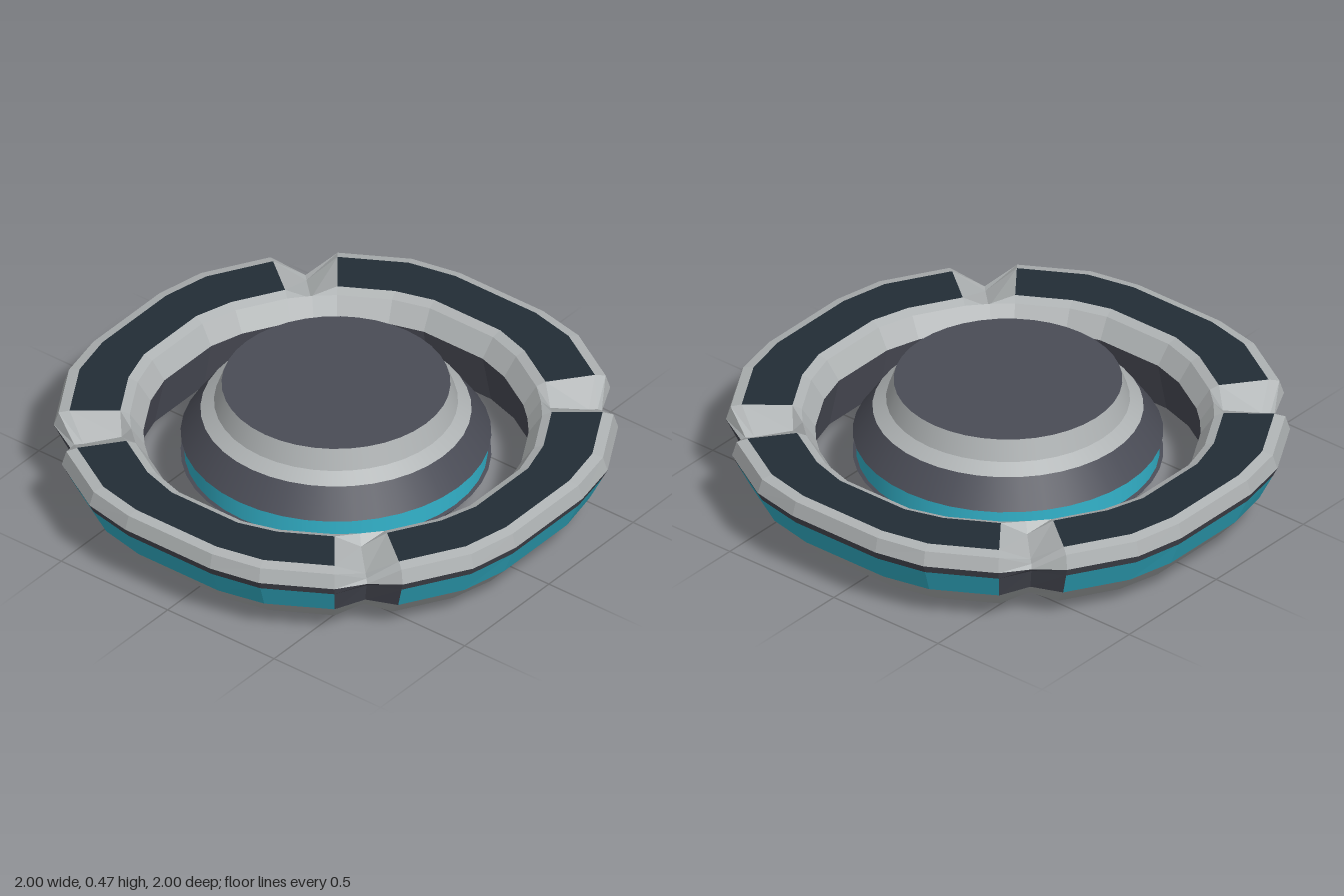
import * as THREE from 'three';

const mat = (name, color, flatShading = false) => {
  const m = new THREE.MeshStandardMaterial({ color, flatShading });
  m.name = name;
  return m;
};

// Ring columns for one quarter: [angle in degrees, outer radius, notch amount]
const QUARTER = [
  [-45, 0.985, 1], [-38, 1.04, 0], [-22.5, 1.04, 0], [-11.25, 1.02, 0],
  [11.25, 1.02, 0], [22.5, 1.04, 0], [38, 1.04, 0],
];

// Ring cross-section: [radius, height, height change at a notch]
const SECTION = [
  [0.75, 0.05, 0.03], [0.87, 0.05, 0.03], [0.94, 0.135, 0.01], [0.985, 0.24, 0],
  [1.0, 0.275, -0.02], [0.985, 0.33, -0.06], [0.95, 0.34, -0.07],
  [0.795, 0.34, -0.05], [0.76, 0.325, 0], [0.71, 0.25, 0], [0.75, 0.05, 0.03],
];

const columns = [];
for (let q = 0; q < 4; q++) {
  for (const [deg, outer, notch] of QUARTER) {
    columns.push({ a: THREE.MathUtils.degToRad(deg + q * 90), outer, notch });
  }
}

function ringPoint(i, j) {
  const [r, y, dip] = SECTION[i];
  const { a, outer, notch } = columns[j % columns.length];
  // Widen or pinch only the part outside the inner wall
  const stretch = (outer - 0.75) / 0.25;
  const radius = r > 0.8 ? 0.75 + (r - 0.75) * stretch : r;
  return [radius * Math.sin(a), y + dip * notch, radius * Math.cos(a)];
}

// Faces between section points from..to, on all, only notched or only plain columns
function ringStrip(from, to, where) {
  const pos = [];
  for (let j = 0; j < columns.length; j++) {
    const notched = columns[j].notch || columns[(j + 1) % columns.length].notch;
    if ((where === 'notch' && !notched) || (where === 'plain' && notched)) continue;
    for (let i = from; i < to; i++) {
      const a = ringPoint(i, j), b = ringPoint(i, j + 1);
      const c = ringPoint(i + 1, j + 1), d = ringPoint(i + 1, j);
      pos.push(...a, ...b, ...c, ...a, ...c, ...d);
    }
  }
  const g = new THREE.BufferGeometry();
  g.setAttribute('position', new THREE.Float32BufferAttribute(pos, 3));
  g.computeVertexNormals();
  return g;
}

export function createModel() {
  const model = new THREE.Group();
  model.name = 'ringedDisc';

  const light = mat('lightGrey', 0xaeb2b3);
  const dark = mat('darkGrey', 0x4a4c56);
  const teal = mat('teal', 0x33b3cb);
  const ringLight = mat('lightGrey', 0xaeb2b3, true);
  const ringDark = mat('darkGrey', 0x4a4c56, true);
  const ringTeal = mat('teal', 0x33b3cb, true);
  const navy = mat('navy', 0x222d36, true);

  // Outer ring with four notches
  const ring = new THREE.Group();
  ring.name = 'outerRing';
  const ringParts = [
    ['undersidePanels', 0, 1, 'plain', navy],
    ['undersideNotches', 0, 1, 'notch', ringLight],
    ['lowerSlope', 1, 2, 'all', ringLight],
    ['lightStrips', 2, 3, 'plain', ringTeal],
    ['stripGaps', 2, 3, 'notch', ringDark],
    ['darkBand', 3, 4, 'all', ringDark],
    ['outerRim', 4, 6, 'all', ringLight],
    ['topPanels', 6, 7, 'plain', navy],
    ['topNotches', 6, 7, 'notch', ringLight],
    ['innerRim', 7, 9, 'all', ringLight],
    ['innerWall', 9, 10, 'all', ringDark],
  ];
  for (const [name, from, to, where, material] of ringParts) {
    const mesh = new THREE.Mesh(ringStrip(from, to, where), material);
    mesh.name = name;
    ring.add(mesh);
  }
  model.add(ring);

  // Central hub: one turned band per part, from the underside up to the cap
  const hub = new THREE.Group();
  hub.name = 'hub';
  const hubParts = [
    ['bottomDisc', 0, 0.045, 0.125, 0.045, dark],
    ['bottomCollar', 0.125, 0.045, 0.16, 0.045, light],
    ['bottomGlowRing', 0.16, 0.045, 0.18, 0.045, teal],
    ['recessFloor', 0.18, 0.045, 0.26, 0.045, dark],
    ['recessWall', 0.26, 0.045, 0.39, 0, dark],
    ['lowerCone', 0.39, 0, 0.5, 0.08, light],
    ['lowerBody', 0.5, 0.08, 0.573, 0.16, dark],
    ['lowerLip', 0.573, 0.16, 0.56, 0.165, dark],
    ['glowBand', 0.56, 0.165, 0.56, 0.243, teal],
    ['upperLip', 0.56, 0.243, 0.573, 0.248, dark],
    ['upperBody', 0.573, 0.248, 0.5, 0.355, dark],
    ['shoulder', 0.5, 0.355, 0.45, 0.39, light],
    ['collar', 0.45, 0.39, 0.422, 0.47, light],
    ['cap', 0.422, 0.47, 0, 0.47, dark],
  ];
  for (const [name, r0, y0, r1, y1, material] of hubParts) {
    const points = [new THREE.Vector2(r0, y0), new THREE.Vector2(r1, y1)];
    const mesh = new THREE.Mesh(new THREE.LatheGeometry(points, 40), material);
    mesh.name = name;
    hub.add(mesh);
  }
  model.add(hub);

  return model;
}
